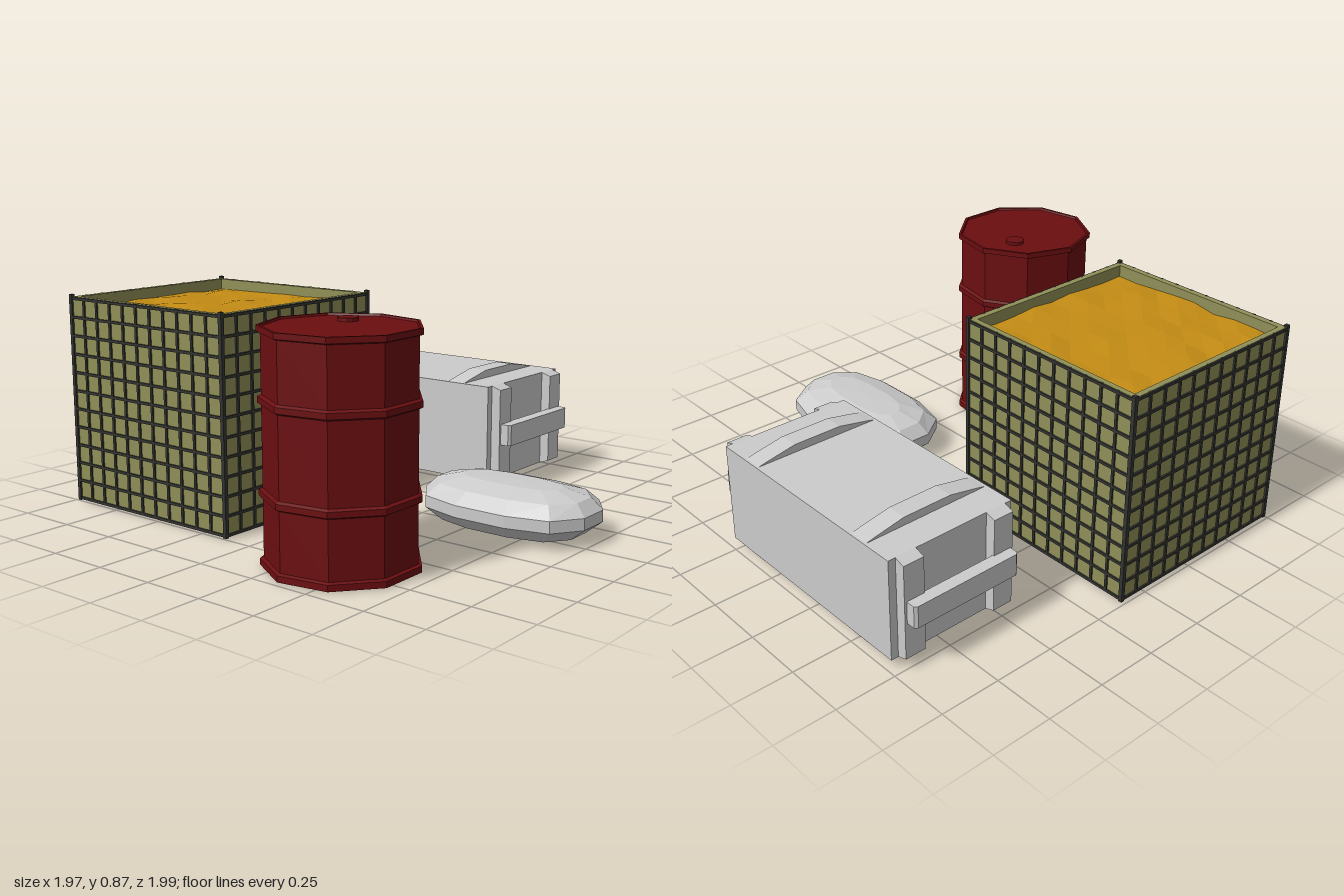
import * as THREE from 'three';

const mat = (color, flat = true, side = THREE.FrontSide) =>
  new THREE.MeshStandardMaterial({ color, flatShading: flat, side });
const GREY = mat(0xcccccc), RED = mat(0x6b0e10), OLIVE = mat(0x8f8f58);
const WIRE = mat(0x333330), SAND = mat(0xc48c14, true, THREE.DoubleSide);

function add(parent, name, geometry, material, x = 0, y = 0, z = 0) {
  const mesh = new THREE.Mesh(geometry, material);
  mesh.name = name;
  mesh.position.set(x, y, z);
  parent.add(mesh);
  return mesh;
}

const box = (w, h, d) => new THREE.BoxGeometry(w, h, d);

function prism(points, depth) {
  const shape = new THREE.Shape(points.map(p => new THREE.Vector2(...p)));
  return new THREE.ExtrudeGeometry(shape, { depth, bevelEnabled: false }).translate(0, 0, -depth / 2);
}

// Nine-sided drum with rolled hoops
function makeBarrel() {
  const g = new THREE.Group();
  g.name = 'barrel';
  const body = 0.281, hoop = 0.295;
  const profile = [[0, 0.003], [hoop, 0.003], [hoop, 0.027], [body, 0.032]];
  for (const y of [0.27, 0.605]) {
    profile.push([body, y - 0.018], [hoop, y - 0.011], [hoop, y + 0.011], [body, y + 0.018]);
  }
  profile.push([body, 0.84], [hoop, 0.845], [hoop, 0.867], [0.284, 0.867], [0.281, 0.859], [0, 0.859]);
  const lathe = new THREE.LatheGeometry(profile.map(p => new THREE.Vector2(...p)), 9, Math.PI);
  add(g, 'drum', lathe, RED);
  add(g, 'bungCap', new THREE.CylinderGeometry(0.04, 0.04, 0.014, 12), RED, 0.125, 0.865, -0.075);
  g.position.set(-0.69, 0, 0.405);
  return g;
}

// Open wire cage lined with cloth and filled with sand
function makeSandCage() {
  const g = new THREE.Group();
  g.name = 'sandCage';
  const half = 0.426, top = 0.86, wall = 0.024, cells = 11, t = 0.011;
  add(g, 'floor', box(half * 2, 0.02, half * 2), OLIVE, 0, 0.016, 0);
  for (let side = 0; side < 4; side++) {
    const panel = new THREE.Group();
    panel.name = 'cagePanel';
    panel.rotation.y = side * Math.PI / 2;
    add(panel, 'lining', box(half * 2, top - 0.008, wall), OLIVE, 0, top / 2 + 0.002, half - wall / 2);
    for (let i = 0; i <= cells; i++) {
      const f = i / cells;
      if (i > 0 && i < cells) {
        add(panel, 'uprightWire', box(t, top - 0.01, t), WIRE, (f - 0.5) * half * 2, top / 2 + 0.003, half + 0.001);
      }
      add(panel, 'crossWire', box(half * 2, t, t), WIRE, 0, 0.012 + f * (top - 0.021), half + 0.001);
    }
    add(panel, 'cornerPost', box(0.016, 0.865, 0.016), WIRE, half, 0.4355, half);
    g.add(panel);
  }
  // Gently uneven sand surface
  const sand = new THREE.PlaneGeometry(0.81, 0.81, 8, 8).rotateX(-Math.PI / 2);
  const p = sand.attributes.position;
  for (let i = 0; i < p.count; i++) {
    const n = Math.sin(i * 12.9898) * 43758.5453;
    p.setY(i, (n - Math.floor(n) - 0.5) * 0.018);
  }
  add(g, 'sand', sand, SAND, 0, 0.815, 0);
  g.position.set(-0.315, 0, -0.555);
  return g;
}

// Faceted pillow: one outline scaled through stacked rings
function makeSandbag() {
  const quarter = [[0.23, 0.11], [0.185, 0.28], [0.07, 0.36]];
  const back = [...quarter].reverse();
  const outline = [...quarter, ...back.map(([x, z]) => [-x, z]),
    ...quarter.map(([x, z]) => [-x, -z]), ...back.map(([x, z]) => [x, -z])];
  // height, x scale, z scale
  const rings = [[0, 0.36, 0.56], [0.022, 0.76, 0.82], [0.075, 1, 1],
    [0.122, 1, 1], [0.168, 0.76, 0.88], [0.195, 0.36, 0.6]];
  const n = outline.length, pos = [], idx = [];
  for (const [y, sx, sz] of rings) for (const [x, z] of outline) pos.push(x * sx, y, z * sz);
  const bottom = pos.push(0, 0, 0) / 3 - 1;
  const top = pos.push(0, 0.197, 0) / 3 - 1;
  const last = (rings.length - 1) * n;
  for (let i = 0; i < n; i++) {
    const j = (i + 1) % n;
    for (let r = 0; r < last; r += n) {
      idx.push(r + i, r + n + i, r + j, r + j, r + n + i, r + n + j);
    }
    idx.push(bottom, i, j, top, last + j, last + i);
  }
  const geo = new THREE.BufferGeometry();
  geo.setAttribute('position', new THREE.Float32BufferAttribute(pos, 3));
  geo.setIndex(idx);
  geo.computeVertexNormals();
  const bag = new THREE.Mesh(geo, GREY);
  bag.name = 'sandbag';
  bag.position.set(0.055, 0, 0.64);
  return bag;
}

// Long chest with arched runners and an end handle on each side
function makeCrate() {
  const g = new THREE.Group();
  g.name = 'crate';
  const halfL = 0.494, low = 0.038, high = 0.455;
  add(g, 'crateBody', box(0.556, high - low, halfL * 2), GREY, 0, (high + low) / 2, 0);

  const arch = prism([[-0.278, -0.002], [0.278, -0.002], [0.235, 0.008], [0.105, 0.033],
    [-0.105, 0.033], [-0.235, 0.008]], 0.082);
  for (const z of [-0.325, 0.325]) {
    add(g, 'topRunner', arch, GREY, 0, high, z);
    add(g, 'bottomRunner', arch, GREY, 0, low - 0.003, z).rotation.z = Math.PI;
  }

  const post = prism([[halfL - 0.01, low], [halfL, low], [halfL + 0.042, low + 0.014],
    [halfL + 0.042, high - 0.014], [halfL, high], [halfL - 0.01, high]], 0.088).rotateY(-Math.PI / 2);
  const handle = prism([[-0.237, -0.025], [0.237, -0.025], [0.237, 0.018], [0.225, 0.027],
    [-0.225, 0.027], [-0.237, 0.018]], 0.09).rotateX(Math.PI / 2);
  for (const turn of [0, Math.PI]) {
    const end = new THREE.Group();
    end.name = 'crateEnd';
    end.rotation.y = turn;
    for (const x of [-0.203, 0.203]) add(end, 'endPost', post, GREY, x, 0, 0);
    add(end, 'handle', handle, GREY, 0, 0.247, halfL + 0.06);
    g.add(end);
  }
  g.position.set(0.707, 0, -0.22);
  return g;
}

export function createModel() {
  const model = new THREE.Group();
  model.name = 'supplyProps';
  model.add(makeBarrel(), makeSandCage(), makeSandbag(), makeCrate());
  return model;
}
